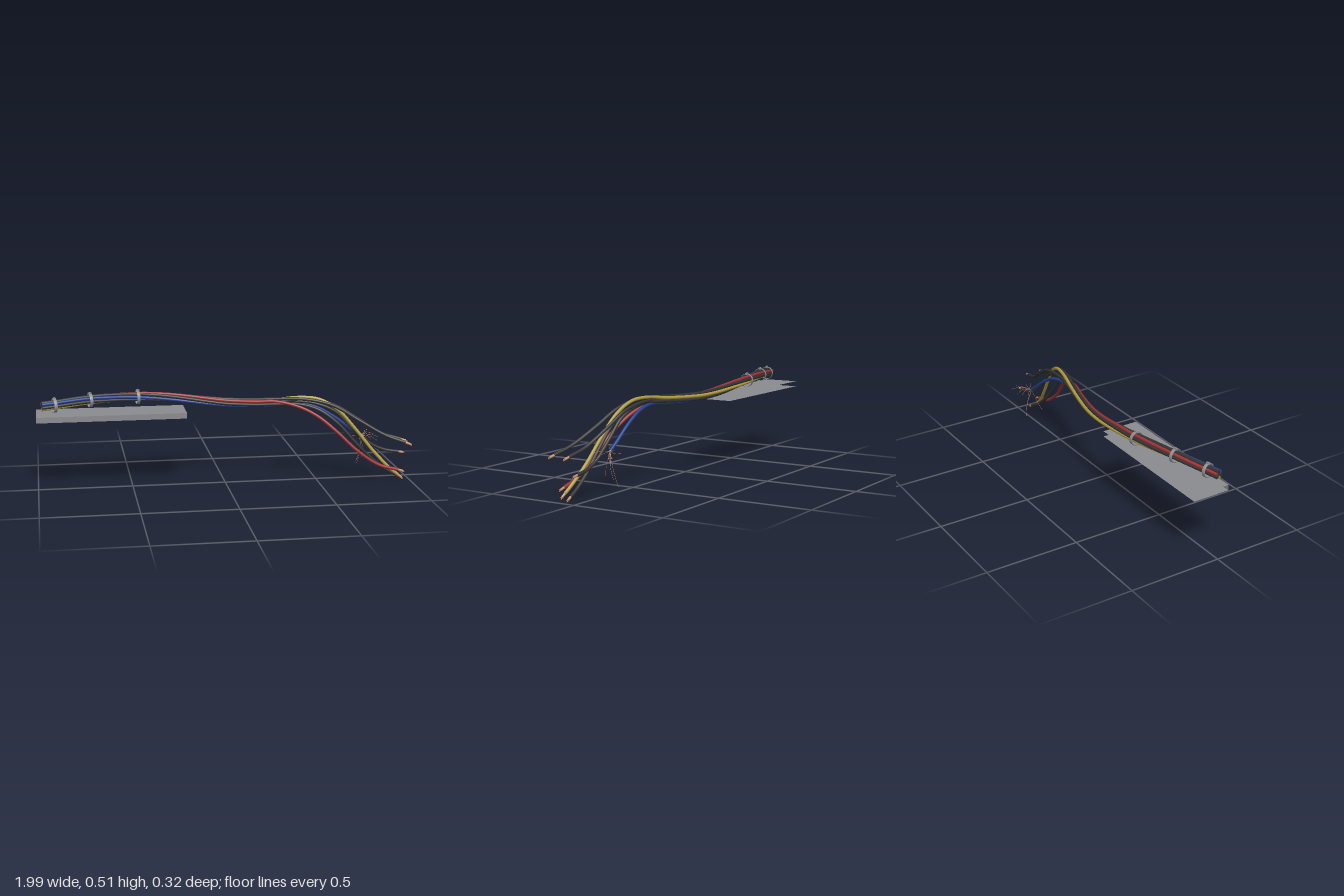
import * as THREE from 'three';

const V = (x, y, z) => new THREE.Vector3(x, y, z);
const mat = (name, color, side = THREE.FrontSide) => {
  const m = new THREE.MeshStandardMaterial({ color, side });
  m.name = name;
  return m;
};

const WIRE_R = 0.0088, PACK_R = 0.0168;

// Centre line of the bundled section
const bundle = new THREE.CatmullRomCurve3([
  V(-0.97, 0.46, 0.009), V(-0.9, 0.463, -0.009), V(-0.71, 0.473, -0.066), V(-0.46, 0.47, -0.12),
  V(-0.3, 0.459, -0.131), V(-0.15, 0.443, -0.127), V(0, 0.428, -0.105), V(0.15, 0.427, -0.073), V(0.28, 0.433, -0.041),
]);

// Each wire: start angle in the bundle (null = core) and its loose end points
const WIRES = [
  ['blueWire', 'blue', 40, [[0.4, 0.423, -0.038], [0.5, 0.4, -0.038], [0.6, 0.345, -0.039], [0.7, 0.27, -0.039], [0.75, 0.235, -0.038]]],
  ['lowBlackWire', 'black', 100, [[0.4, 0.425, 0], [0.5, 0.4, 0.032], [0.6, 0.33, 0.06], [0.7, 0.22, 0.072], [0.8, 0.12, 0.071], [0.88, 0.06, 0.068], [0.938, 0.029, 0.065]]],
  ['redWire', 'red', 160, [[0.4, 0.412, 0.005], [0.5, 0.362, 0.037], [0.6, 0.28, 0.073], [0.7, 0.185, 0.097], [0.82, 0.102, 0.107], [0.932, 0.069, 0.109]]],
  ['outerBlackWire', 'black', 220, [[0.43, 0.452, 0], [0.58, 0.42, 0.032], [0.72, 0.34, 0.07], [0.86, 0.262, 0.115], [0.959, 0.228, 0.144]]],
  ['yellowWire', 'yellow', 280, [[0.4, 0.458, -0.026], [0.51, 0.45, -0.002], [0.61, 0.395, 0.022], [0.7, 0.295, 0.046], [0.8, 0.17, 0.07], [0.89, 0.075, 0.094], [0.932, 0.041, 0.102]]],
  ['backBlackWire', 'black', 340, [[0.46, 0.43, -0.026], [0.6, 0.38, -0.006], [0.7, 0.28, 0.005], [0.8, 0.195, 0.007], [0.88, 0.158, 0.007], [0.959, 0.144, 0.008]]],
  ['coreBlackWire', 'black', null, [[0.46, 0.44, -0.035], [0.6, 0.41, -0.02], [0.72, 0.34, 0.002], [0.85, 0.26, 0.036], [0.959, 0.226, 0.057]]],
];

// Path of one wire: twisting in the bundle, then fanning out
function wirePath(angle, loose) {
  const points = [];
  for (let i = 0; i <= 14; i++) {
    const p = bundle.getPointAt(i / 14);
    if (angle !== null) {
      const twist = 140 * THREE.MathUtils.smoothstep(p.x, -0.95, 0.35);
      const a = THREE.MathUtils.degToRad(angle - twist);
      const t = bundle.getTangentAt(i / 14);
      const side = V(-t.z, 0, t.x).normalize();
      p.addScaledVector(side, Math.cos(a) * PACK_R);
      p.y += Math.sin(a) * PACK_R;
    }
    points.push(p);
  }
  loose.forEach((q) => points.push(V(...q)));
  return new THREE.CatmullRomCurve3(points);
}

// Rotation that turns +z to a direction
const facing = (dir) => new THREE.Quaternion().setFromUnitVectors(V(0, 0, 1), dir);

export function createModel() {
  const model = new THREE.Group();
  const mats = {
    black: mat('black insulation', 0x333333),
    red: mat('red insulation', 0x9c3236),
    yellow: mat('yellow insulation', 0xae9a3c),
    blue: mat('blue insulation', 0x25408c),
    copper: mat('copper', 0xc68f6c),
    tie: mat('tie grey', 0x8c9093),
    plate: mat('plate grey', 0x8a8b8f, THREE.DoubleSide),
  };
  const add = (parent, name, geometry, material) => {
    const mesh = new THREE.Mesh(geometry, material);
    mesh.name = name;
    parent.add(mesh);
    return mesh;
  };

  // Mounting plate: top and bottom sheets joined along the front edge
  const plate = new THREE.Group();
  plate.name = 'mountingPlate';
  model.add(plate);
  [['plateTop', 0.408], ['plateBottom', 0.378]].forEach(([name, y]) => {
    const sheet = add(plate, name, new THREE.PlaneGeometry(0.79, 0.2).rotateX(-Math.PI / 2), mats.plate);
    sheet.position.set(-0.605, y, -0.055);
  });
  add(plate, 'plateFront', new THREE.PlaneGeometry(0.79, 0.03), mats.plate).position.set(-0.605, 0.393, 0.045);

  // Wires with end caps and bare copper cores
  for (const [name, color, angle, loose] of WIRES) {
    const wire = new THREE.Group();
    wire.name = name;
    model.add(wire);
    const path = wirePath(angle, loose);
    add(wire, 'insulation', new THREE.TubeGeometry(path, 110, WIRE_R, 12), mats[color]);
    for (const end of [0, 1]) {
      const dir = path.getTangentAt(end).multiplyScalar(end ? 1 : -1);
      const cap = add(wire, 'endCap', new THREE.CircleGeometry(WIRE_R, 12), mats[color]);
      cap.position.copy(path.getPointAt(end));
      cap.quaternion.copy(facing(dir));
    }
    const core = new THREE.Group();
    core.name = 'bareCore';
    core.position.copy(path.getPointAt(1));
    core.quaternion.copy(facing(path.getTangentAt(1)));
    wire.add(core);
    const length = color === 'blue' ? 0.006 : 0.026;
    const rod = (rodName, r, len) =>
      add(core, rodName, new THREE.CylinderGeometry(r, r, len, 10).rotateX(Math.PI / 2).translate(0, 0, len / 2), mats.copper);
    rod('twistedCopper', 0.0064, length);
    for (let i = 0; i < 3; i++) {
      const a = (i * Math.PI * 2) / 3;
      rod('strandTip', 0.0022, length * (1.15 + 0.13 * i)).position.set(Math.cos(a) * 0.0034, Math.sin(a) * 0.0034, 0);
    }
  }

  // Frayed strands bursting from the blue wire
  const frayed = new THREE.Group();
  frayed.name = 'frayedStrands';
  model.add(frayed);
  const root = V(0.752, 0.233, -0.038);
  const tips = [
    [0.72, 0.1, 0.013], [0.75, 0.06, -0.083], [0.77, 0.098, -0.068], [0.83, 0.19, -0.09],
    [0.81, 0.252, -0.105], [0.85, 0.217, -0.119], [0.8, 0.25, -0.085], [0.84, 0.23, 0.005],
    [0.72, 0.22, -0.08], [0.85, 0.2, -0.02], [0.78, 0.265, -0.06], [0.8, 0.19, -0.075],
  ];
  tips.forEach((tip, i) => {
    const end = V(...tip);
    const mid = root.clone().lerp(end, 0.55);
    mid.x += 0.012;
    mid.y += i % 2 ? 0.008 : -0.004;
    const curve = new THREE.CatmullRomCurve3([root, mid, end]);
    add(frayed, 'frayedStrand', new THREE.TubeGeometry(curve, 8, 0.0008, 5), mats.copper);
  });

  // Cable ties: a flat band with a locking head and a short tail
  const bandProfile = [[0.0335, -0.008], [0.0365, -0.008], [0.0365, 0.008], [0.0335, 0.008], [0.0335, -0.008]]
    .map(([r, h]) => new THREE.Vector2(r, h));
  for (const x of [-0.905, -0.715, -0.46]) {
    let u = 0;
    while (bundle.getPointAt(u).x < x) u += 0.002;
    const t = bundle.getTangentAt(u);
    const tie = new THREE.Group();
    tie.name = 'cableTie';
    tie.position.copy(bundle.getPointAt(u));
    tie.position.y -= 0.004;
    tie.rotation.y = Math.atan2(-t.z, t.x);
    model.add(tie);
    add(tie, 'tieBand', new THREE.LatheGeometry(bandProfile, 32).rotateZ(-Math.PI / 2), mats.tie);
    add(tie, 'tieHead', new THREE.BoxGeometry(0.018, 0.01, 0.012), mats.tie).position.y = 0.036;
    add(tie, 'tieTail', new THREE.BoxGeometry(0.009, 0.004, 0.004), mats.tie).position.set(0, 0.042, -0.003);
  }
  return model;
}
